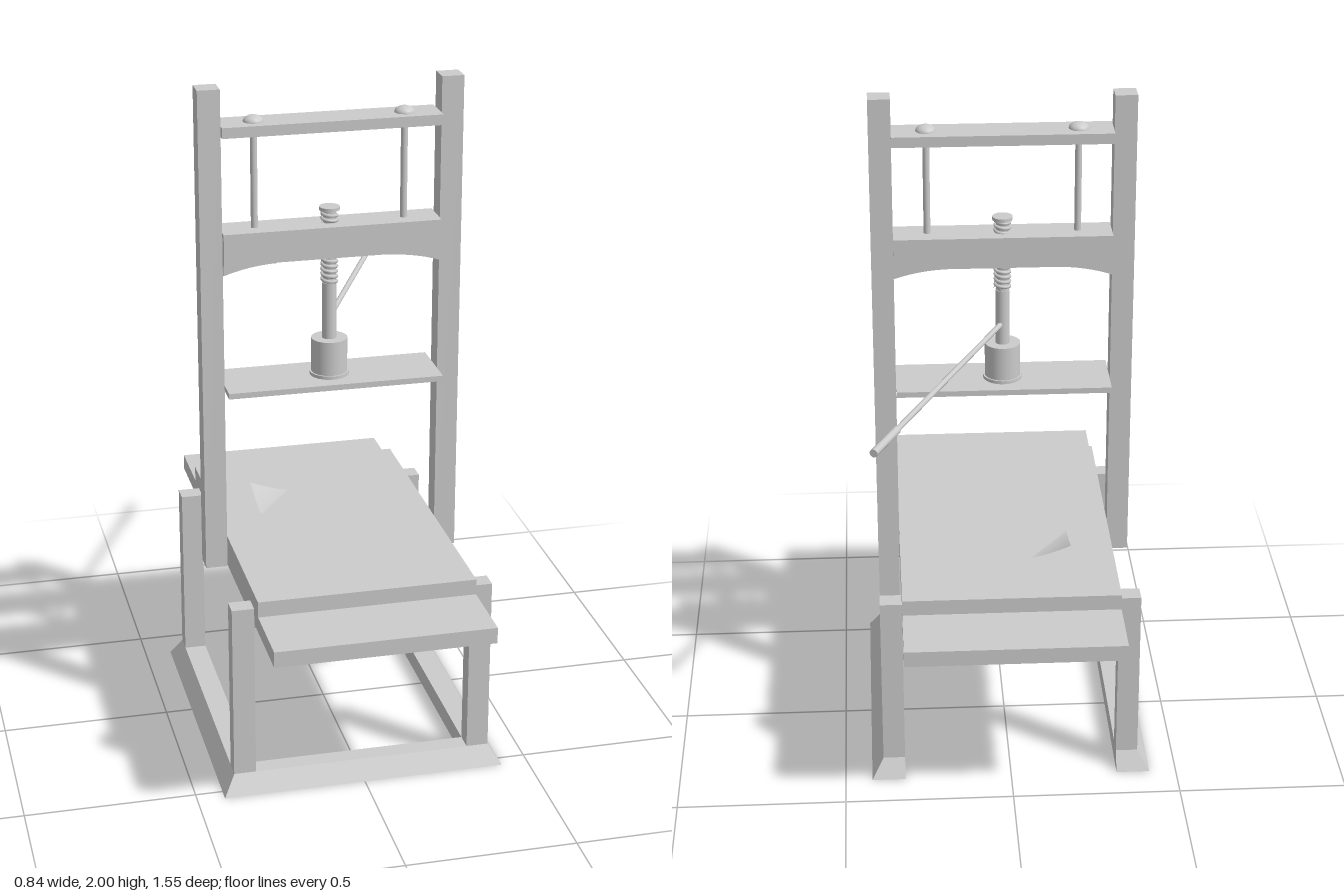
import * as THREE from 'three';

const Z = 0.077; // depth of the press plane
const mat = new THREE.MeshStandardMaterial({ color: 0xcccccc });
const sheetMat = new THREE.MeshStandardMaterial({ color: 0xcccccc, side: THREE.DoubleSide });

export function createModel() {
  const root = new THREE.Group();

  const add = (name, geo, material = mat) => {
    const m = new THREE.Mesh(geo, material);
    m.name = name;
    root.add(m);
    return m;
  };
  // box given by its min/max on each axis
  const box = (name, x0, x1, y0, y1, z0, z1) =>
    add(name, new THREE.BoxGeometry(x1 - x0, y1 - y0, z1 - z0))
      .position.set((x0 + x1) / 2, (y0 + y1) / 2, (z0 + z1) / 2);
  // upright cylinder between two heights
  const rod = (name, x, y0, y1, r, seg = 24) =>
    add(name, new THREE.CylinderGeometry(r, r, y1 - y0, seg)).position.set(x, (y0 + y1) / 2, Z);
  // cylinder between two points
  const bar = (name, a, b, r) => {
    const m = add(name, new THREE.CylinderGeometry(r, r, a.distanceTo(b), 16));
    m.position.copy(a).lerp(b, 0.5);
    m.quaternion.setFromUnitVectors(new THREE.Vector3(0, 1, 0), b.clone().sub(a).normalize());
  };

  // U-shaped base, open at the back, with outward sloping sides
  const u = new THREE.Shape([
    [-0.42, -0.54], [0.42, -0.54], [0.42, 0.39], [0.32, 0.39],
    [0.32, -0.45], [-0.32, -0.45], [-0.32, 0.39], [-0.42, 0.39],
  ].map(([x, y]) => new THREE.Vector2(x, y)));
  const base = new THREE.ExtrudeGeometry(u, { depth: 0.057, bevelEnabled: false });
  base.rotateX(-Math.PI / 2);
  const p = base.attributes.position;
  for (let i = 0; i < p.count; i++) {
    if (p.getY(i) < 0.03) continue;
    if (Math.abs(p.getX(i)) > 0.4) p.setX(i, Math.sign(p.getX(i)) * 0.385);
    if (p.getZ(i) > 0.5) p.setZ(i, 0.505);
    if (p.getZ(i) < -0.38) p.setZ(i, -0.357);
  }
  base.computeVertexNormals();
  add('baseFrame', base);

  // bed
  box('lowerBoard', -0.32, 0.32, 0.54, 0.588, -0.627, 0.775);
  box('upperBed', -0.32, 0.32, 0.588, 0.635, -0.42, 0.56);

  // curled sheet corner lying on the bed
  const sheet = new THREE.PlaneGeometry(0.14, 0.18, 20, 20);
  sheet.rotateX(-Math.PI / 2).translate(-0.12, 0, -0.09);
  const s = sheet.attributes.position;
  for (let i = 0; i < s.count; i++) {
    const t = 1 - (s.getX(i) + 0.19) / 0.13 - (s.getZ(i) + 0.18) / 0.18;
    s.setY(i, t > 0 ? 0.634 + 0.038 * t ** 1.5 : 0.633);
  }
  sheet.computeVertexNormals();
  add('curledSheet', sheet, sheetMat);

  // legs, posts, brackets and tie rods on both sides
  for (const side of [-1, 1]) {
    const [x0, x1] = side < 0 ? [-0.385, -0.32] : [0.32, 0.385];
    box('frontLeg', x0, x1, 0.057, 0.588, 0.45, 0.505);
    box('backLeg', x0, x1, 0.057, 0.588, -0.357, -0.3);
    box('post', x0, x1, 0.536, 2, 0.045, 0.11);

    const arch = new THREE.Shape();
    arch.moveTo(side * 0.32, 1.492);
    arch.lineTo(side * 0.165, 1.492);
    arch.lineTo(side * 0.165, 1.485);
    arch.quadraticCurveTo(side * 0.25, 1.482, side * 0.32, 1.457);
    const bracket = new THREE.ExtrudeGeometry(arch, { depth: 0.09, bevelEnabled: false, curveSegments: 10 });
    add('bracket', bracket.translate(0, 0, 0.032));

    rod('tieRod', side * 0.22, 1.57, 1.87, 0.01);
    const cap = add('boltCap', new THREE.SphereGeometry(0.03, 24, 8, 0, Math.PI * 2, 0, Math.PI / 2));
    cap.scale.y = 0.65;
    cap.position.set(side * 0.22, 1.894, Z);
  }

  // cross members
  box('topRail', -0.32, 0.32, 1.864, 1.895, 0.02, 0.132);
  box('crossBeam', -0.32, 0.32, 1.49, 1.583, 0.02, 0.132);
  box('platen', -0.32, 0.32, 1.1, 1.117, -0.022, 0.177);

  // spindle, socket and screw
  rod('socketFlange', 0, 1.117, 1.127, 0.058, 32);
  rod('socket', 0, 1.127, 1.23, 0.053, 32);
  rod('spindle', 0, 1.22, 1.4, 0.021);
  rod('screwCore', 0, 1.395, 1.62, 0.019);
  rod('screwCap', 0, 1.62, 1.63, 0.03);
  const helix = new THREE.Curve();
  helix.getPoint = (t, v = new THREE.Vector3()) => {
    const a = t * 14 * Math.PI * 2;
    return v.set(0.021 * Math.cos(a), 1.403 + 0.215 * t, Z + 0.021 * Math.sin(a));
  };
  add('screwThread', new THREE.TubeGeometry(helix, 14 * 20, 0.0055, 6));

  // long lever with a thicker grip
  const start = new THREE.Vector3(0, 1.292, Z);
  const end = new THREE.Vector3(0.39, 1.292, -0.772);
  const grip = start.clone().lerp(end, 0.835);
  bar('lever', start, grip, 0.008);
  bar('leverGrip', grip, end, 0.0115);

  return root;
}
